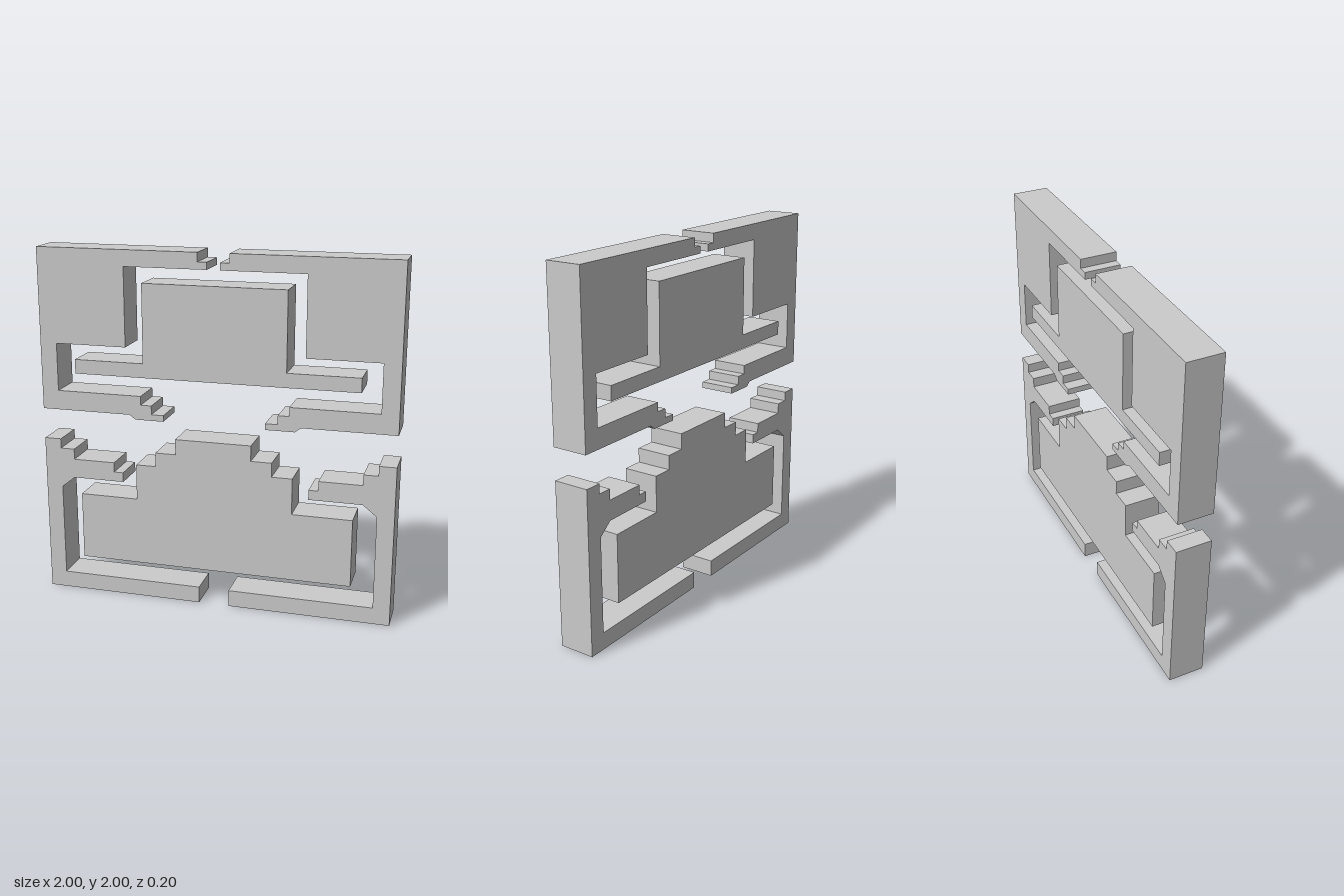
import * as THREE from 'three';

const DEPTH = 0.2;
const material = new THREE.MeshStandardMaterial({ color: 0xcccccc, flatShading: true });

// Extrude an outline into a slab centred on z = 0
function slab(name, points) {
  const shape = new THREE.Shape(points.map(([x, y]) => new THREE.Vector2(x, y)));
  const geometry = new THREE.ExtrudeGeometry(shape, { depth: DEPTH, bevelEnabled: false });
  geometry.translate(0, 0, -DEPTH / 2);
  const mesh = new THREE.Mesh(geometry, material);
  mesh.name = name;
  return mesh;
}

const mirror = (points, cx = 0) => points.map(([x, y]) => [2 * cx - x, y]).reverse();

// Close a right-hand half profile into a symmetric outline
const symmetric = (half, cx = 0) => [...half, ...mirror(half, cx)];

export function createModel() {
  const model = new THREE.Group();

  // Upper frame half: thick shoulder, side wall and stepped lower lip
  const upperFrame = [
    [0.087, 2], [0.087, 1.95], [0.036, 1.95], [0.036, 1.91], [0.5, 1.91], [0.5, 1.47],
    [0.905, 1.47], [0.905, 1.2], [0.418, 1.2], [0.418, 1.15], [0.356, 1.15], [0.356, 1.1],
    [0.287, 1.1], [0.287, 1.065], [0.45, 1.065], [0.483, 1.09], [1, 1.09], [1, 2],
  ];

  // Lower frame half: floor, side wall and stepped upper arm with chamfered corner
  const lowerFrame = [
    [0.087, 0], [1, 0], [1, 0.915], [0.905, 0.915], [0.905, 0.86], [0.825, 0.86],
    [0.825, 0.8], [0.585, 0.8], [0.585, 0.745], [0.532, 0.745], [0.532, 0.69],
    [0.828, 0.69], [0.905, 0.628], [0.905, 0.095], [0.087, 0.095],
  ];

  for (const [name, points] of [['UpperFrame', upperFrame], ['LowerFrame', lowerFrame]]) {
    model.add(slab('left' + name, points), slab('right' + name, mirror(points)));
  }

  // Upper core: block on a wide thin flange
  model.add(slab('upperCore', symmetric([
    [0.798, 1.305], [0.798, 1.385], [0.4, 1.385], [0.4, 1.825],
  ])));

  // Lower core: wide base with a stepped top, set slightly off centre
  model.add(slab('lowerCore', symmetric([
    [0.777, 0.207], [0.777, 0.595], [0.442, 0.595], [0.442, 0.8],
    [0.327, 0.8], [0.327, 0.88], [0.21, 0.88], [0.21, 0.968],
  ], -0.005)));

  return model;
}
